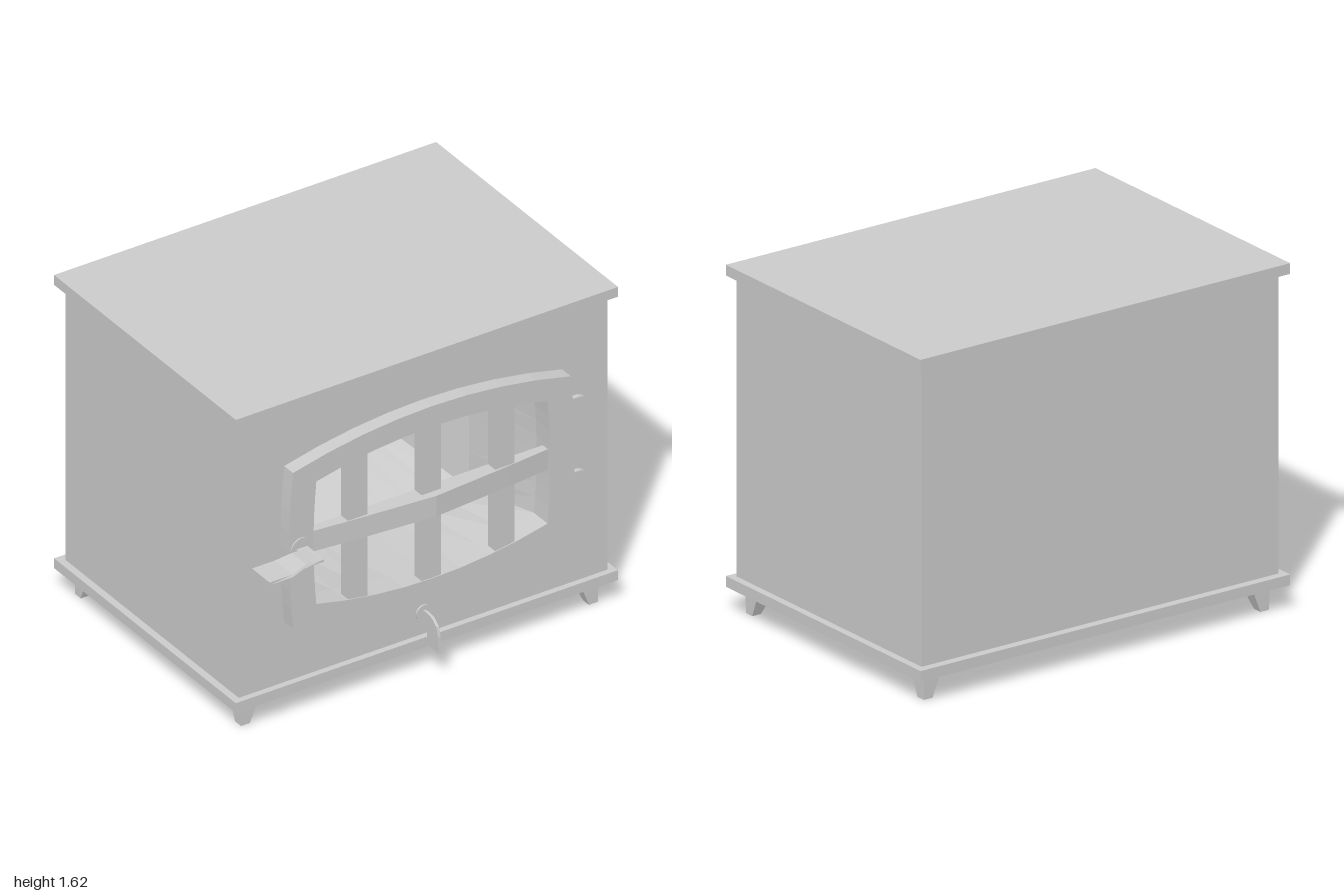
import * as THREE from 'three';

const material = new THREE.MeshStandardMaterial({ color: 0xcccccc, flatShading: true });

function add(parent, name, geometry, x = 0, y = 0, z = 0) {
  const mesh = new THREE.Mesh(geometry, material);
  mesh.name = name;
  mesh.position.set(x, y, z);
  parent.add(mesh);
  return mesh;
}

// Box given by its limits
function block(parent, name, x0, x1, y0, y1, z0, z1) {
  return add(parent, name, new THREE.BoxGeometry(x1 - x0, y1 - y0, z1 - z0),
    (x0 + x1) / 2, (y0 + y1) / 2, (z0 + z1) / 2);
}

// Counter-clockwise rectangle whose sides bulge outward by bx and by
function bowedRect(hx, y0, y1, bx = 0, by = 0, n = 8) {
  const pts = [], mid = (y0 + y1) / 2, hy = (y1 - y0) / 2;
  for (let side = 0; side < 4; side++) {
    for (let i = 0; i < n; i++) {
      const t = -1 + (2 * i) / n, b = 1 - t * t;
      const [x, y] = [
        [t * hx, -hy - by * b], [hx + bx * b, t * hy],
        [-t * hx, hy + by * b], [-hx - bx * b, -t * hy],
      ][side];
      pts.push(new THREE.Vector2(x, mid + y));
    }
  }
  return pts;
}

function extrude(points, depth, hole) {
  const shape = new THREE.Shape(points);
  if (hole) shape.holes.push(new THREE.Path(hole));
  return new THREE.ExtrudeGeometry(shape, { depth, bevelEnabled: false, curveSegments: 16 });
}

const vectors = list => list.map(([x, y]) => new THREE.Vector2(x, y));

// Inward-facing loft through rings of equal point count, closed at the back
function recess(rings) {
  const n = rings[0].pts.length, pos = [], index = [];
  rings.forEach(r => r.pts.forEach(p => pos.push(p.x, p.y, r.z)));
  for (let k = 0; k < rings.length - 1; k++) {
    for (let i = 0; i < n; i++) {
      const a = k * n + i, b = k * n + (i + 1) % n;
      index.push(a, b, a + n, b, b + n, a + n);
    }
  }
  const last = rings[rings.length - 1], base = (rings.length - 1) * n;
  const c = pos.length / 3;
  const midY = last.pts.reduce((s, p) => s + p.y, 0) / n;
  pos.push(0, midY, last.z);
  for (let i = 0; i < n; i++) index.push(base + i, base + (i + 1) % n, c);
  const g = new THREE.BufferGeometry();
  g.setAttribute('position', new THREE.Float32BufferAttribute(pos, 3));
  g.setIndex(index);
  g.computeVertexNormals();
  return g;
}

function disc(parent, name, r, x, y, z0, z1) {
  const g = new THREE.CylinderGeometry(r, r, z1 - z0, 24).rotateX(Math.PI / 2);
  return add(parent, name, g, x, y, (z0 + z1) / 2);
}

export function createModel() {
  const stove = new THREE.Group();
  stove.name = 'stove';
  const opening = bowedRect(0.605, 0.565, 1.195, 0.015, 0.075);

  // Cabinet: plates, shell without its front face, and pierced front panel
  block(stove, 'basePlate', -1, 1, 0.12, 0.17, -0.82, 0.62);
  block(stove, 'topPlate', -1, 1, 1.575, 1.625, -0.82, 0.62);
  const shell = block(stove, 'cabinetShell', -0.965, 0.965, 0.17, 1.575, -0.78, 0.55);
  const faces = Array.from(shell.geometry.index.array);
  faces.splice(24, 6);
  shell.geometry.setIndex(faces);
  const panel = bowedRect(0.965, 0.17, 1.575, 0, 0, 1);
  add(stove, 'frontPanel', extrude(panel, 0.04, opening), 0, 0, 0.55);

  // Firebox tapering to a smaller back wall
  add(stove, 'firebox', recess([
    { pts: opening, z: 0.55 },
    { pts: bowedRect(0.53, 0.51, 1.245, 0, 0.02), z: 0.15 },
    { pts: bowedRect(0.335, 0.7, 1.05), z: -0.2 },
  ]));

  // Door frame and grille
  const door = new THREE.Group();
  door.name = 'door';
  stove.add(door);
  const outline = bowedRect(0.727, 0.48, 1.28, 0.02, 0.095);
  add(door, 'doorFrame', extrude(outline, 0.07, opening), 0, 0, 0.59);
  for (const x of [-0.385, 0, 0.385]) {
    block(door, 'verticalBar', x - 0.051, x + 0.051, 0.47, 1.29, 0.6, 0.655);
  }
  const bow = vectors([[-0.62, 0.6], [0.62, 0.6], [0.62, 0.64], [0.4, 0.662],
    [0, 0.695], [-0.4, 0.662], [-0.62, 0.64]]);
  add(door, 'crossBar', extrude(bow, 0.105).rotateX(Math.PI / 2), 0, 0.932, 0);

  // Hinges with rounded ends
  for (const y of [0.683, 1.063]) {
    const tab = new THREE.Shape();
    tab.moveTo(0.72, -0.063);
    tab.lineTo(0.797, -0.063);
    tab.absarc(0.797, 0, 0.063, -Math.PI / 2, Math.PI / 2, false);
    tab.lineTo(0.72, 0.063);
    add(door, 'hinge', new THREE.ExtrudeGeometry(tab,
      { depth: 0.025, bevelEnabled: false, curveSegments: 10 }), 0, y, 0.589);
  }

  // Door latch: boss, stem and a wavy flat lever
  disc(door, 'latchBoss', 0.055, -0.685, 0.88, 0.6, 0.667);
  block(door, 'latchStem', -0.715, -0.657, 0.873, 0.886, 0.66, 0.8);
  const wave = vectors([[-0.95, 0.858], [-0.83, 0.858], [-0.75, 0.876], [-0.657, 0.873],
    [-0.657, 0.885], [-0.75, 0.89], [-0.83, 0.872], [-0.95, 0.872]]);
  const lever = extrude(wave, 0.14);
  const p = lever.attributes.position;
  for (let i = 0; i < p.count; i++) {
    if (p.getX(i) > -0.8) p.setZ(i, p.getZ(i) > 0.07 ? 0.128 : 0.012);
  }
  lever.computeVertexNormals();
  add(door, 'latchLever', lever, 0, 0, 0.672);

  // Air control: small disc and thin hooked lever
  disc(stove, 'airControlBoss', 0.04, 0, 0.28, 0.58, 0.598);
  const hook = vectors([[0.59, 0.25], [0.615, 0.245], [0.632, 0.205], [0.635, 0.14],
    [0.725, 0.14], [0.718, 0.22], [0.705, 0.265], [0.67, 0.292], [0.625, 0.3], [0.59, 0.295]]);
  add(stove, 'airControlLever', extrude(hook, 0.014).rotateY(-Math.PI / 2), 0.007, 0, 0);

  // Feet: tapered toward their outer corner
  for (const sx of [-1, 1]) {
    for (const sz of [-1, 1]) {
      const foot = new THREE.BoxGeometry(0.095, 0.12, 0.095);
      const v = foot.attributes.position;
      for (let i = 0; i < v.count; i++) {
        if (v.getY(i) > 0) continue;
        v.setX(i, v.getX(i) * sx > 0 ? sx * 0.046 : sx * -0.001);
        v.setZ(i, v.getZ(i) * sz > 0 ? sz * 0.046 : sz * -0.001);
      }
      foot.computeVertexNormals();
      add(stove, 'foot', foot, sx * 0.888, 0.06, sz > 0 ? 0.515 : -0.708);
    }
  }
  return stove;
}
